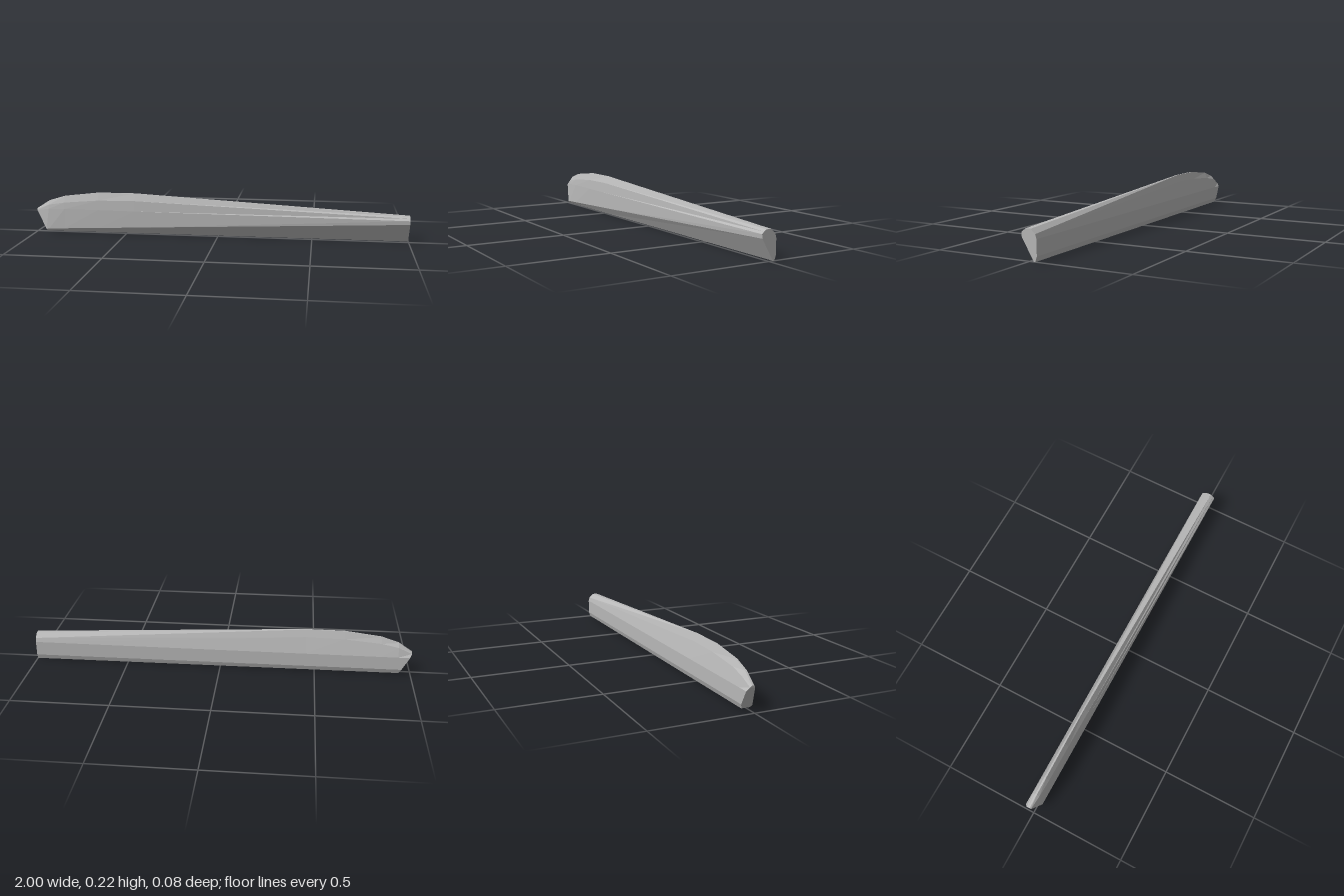
import * as THREE from 'three';

// Lower edge lines run straight from root to tip: [z, y] at each end,
// ordered from the back, under the keel, to the front.
const lowerRoot = [[-0.038, 0.1], [-0.038, 0.025], [-0.03, 0], [-0.022, 0], [0.038, 0.103]];
const lowerTip = [[-0.039, 0.1], [-0.039, 0.03], [-0.03, 0.006], [0.012, 0.006], [0.021, 0.016]];

// Upper outline per station: x, then [z, y] from the front over the crest to the back.
const stations = [
  [1, [0.04, 0.123], [0.03, 0.133], [0.017, 0.142], [-0.008, 0.142], [-0.032, 0.121]],
  [-0.45, [0.026, 0.129], [0.022, 0.185], [0.004, 0.223], [-0.003, 0.223], [-0.016, 0.185]],
  [-0.65, [0.024, 0.13], [0.02, 0.182], [0.004, 0.222], [-0.004, 0.222], [-0.018, 0.182]],
  [-0.84, [0.02, 0.13], [0.016, 0.165], [0.002, 0.199], [-0.007, 0.199], [-0.022, 0.167]],
  [-0.93, [0.014, 0.128], [0.01, 0.15], [-0.002, 0.171], [-0.011, 0.171], [-0.027, 0.15]],
  [-1, [0, 0.115], [-0.002, 0.12], [-0.008, 0.126], [-0.016, 0.126], [-0.026, 0.118]],
];

// One closed cross-section as 3D points; the tip's lower half is raked inward.
function section([x, ...upper]) {
  const t = (1 - x) / 2;
  const lower = lowerRoot.map(([z, y], i) => [
    THREE.MathUtils.lerp(z, lowerTip[i][0], t),
    THREE.MathUtils.lerp(y, lowerTip[i][1], t),
  ]);
  return [...upper, ...lower].map(([z, y]) => {
    const rake = -1 + 0.06 * Math.max(0, 0.118 - y) / 0.11;
    return [Math.max(x, rake), y, z];
  });
}

// Skins the cross-sections and closes both ends.
function loft(rings) {
  const n = rings[0].length;
  const index = [];
  for (let i = 0; i < rings.length - 1; i++) {
    for (let k = 0; k < n; k++) {
      const a = i * n + k, b = i * n + (k + 1) % n;
      index.push(a, b, a + n, b, b + n, a + n);
    }
  }
  const end = (rings.length - 1) * n;
  for (let k = 1; k < n - 1; k++) {
    index.push(0, k + 1, k);
    index.push(end, end + k, end + k + 1);
  }
  const geometry = new THREE.BufferGeometry();
  geometry.setAttribute('position', new THREE.Float32BufferAttribute(rings.flat(2), 3));
  geometry.setIndex(index);
  const flat = geometry.toNonIndexed();
  flat.computeVertexNormals();
  return flat;
}

export function createModel() {
  const group = new THREE.Group();
  group.name = 'taperedBlade';
  const grey = new THREE.MeshStandardMaterial({ color: 0xb8b8b8 });
  grey.name = 'grey';

  // Long twisted blade with a flat root and a rounded, raked tip
  const blade = new THREE.Mesh(loft(stations.map(section)), grey);
  blade.name = 'blade';
  group.add(blade);
  return group;
}
